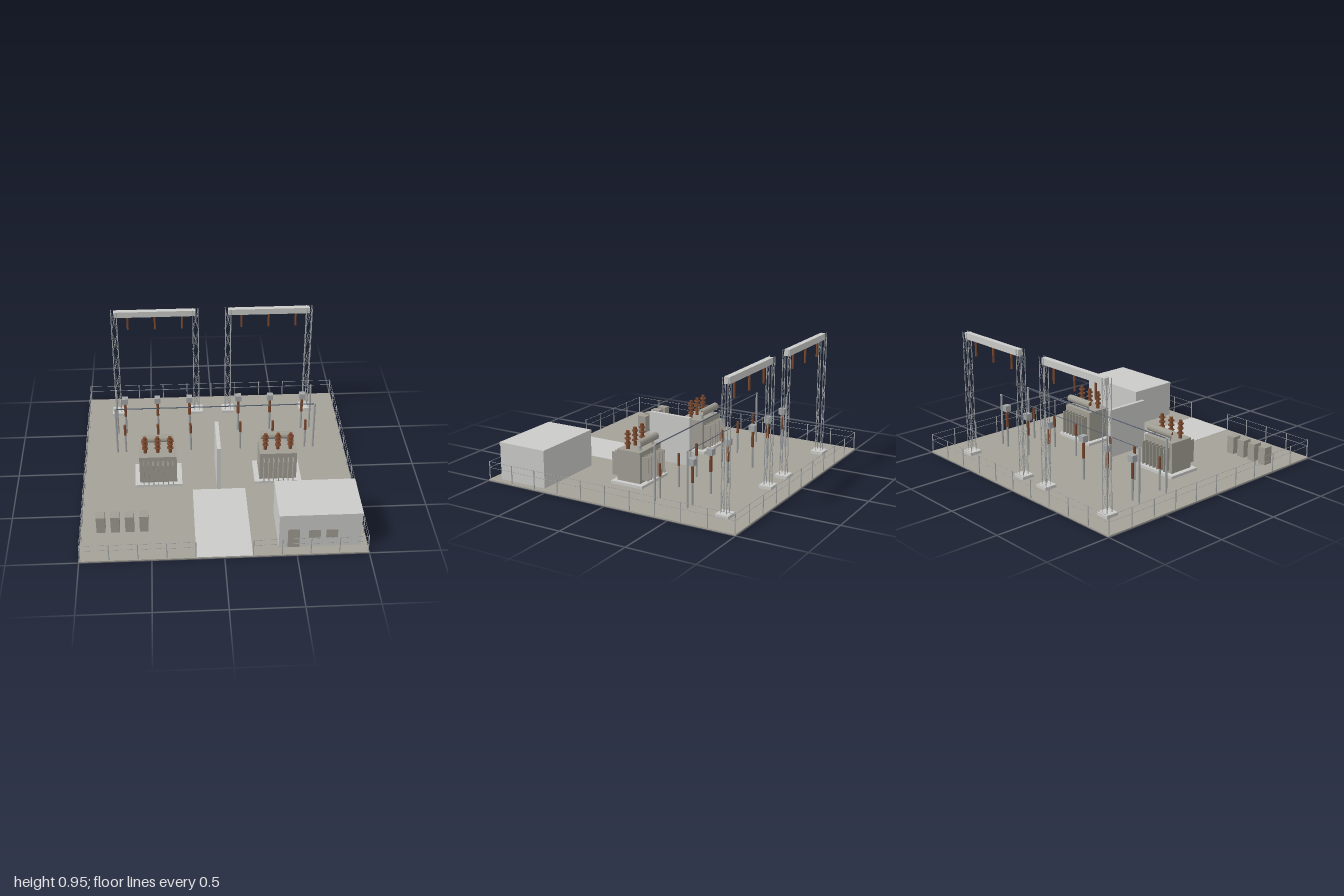
import * as THREE from 'three';

const mat = (name, color) => {
  const m = new THREE.MeshStandardMaterial({ color });
  m.name = name;
  return m;
};

export function createModel() {
  const gravel = mat('gravel', 0xa4a197);
  const concrete = mat('concrete', 0xcacac8);
  const equipment = mat('equipment grey', 0xa09d93);
  const steel = mat('galvanised steel', 0xa4a7a8);
  const porcelain = mat('brown porcelain', 0x7d4a2f);
  const busMetal = mat('bus metal', 0x566070);

  const root = new THREE.Group();
  root.name = 'substation';
  const group = (name, parent = root) => {
    const g = new THREE.Group();
    g.name = name;
    parent.add(g);
    return g;
  };
  const add = (parent, name, geo, m) => {
    const mesh = new THREE.Mesh(geo, m);
    mesh.name = name;
    parent.add(mesh);
    return mesh;
  };
  // box given by its limits on each axis
  const box = (parent, name, m, x0, x1, y0, y1, z0, z1) => {
    const b = add(parent, name, new THREE.BoxGeometry(x1 - x0, y1 - y0, z1 - z0), m);
    b.position.set((x0 + x1) / 2, (y0 + y1) / 2, (z0 + z1) / 2);
    return b;
  };
  // round bar between two points
  const rod = (parent, name, m, a, b, r, sides = 6, open = false) => {
    const p = new THREE.Vector3(...a), q = new THREE.Vector3(...b);
    const d = q.clone().sub(p);
    const mesh = add(parent, name, new THREE.CylinderGeometry(r, r, d.length(), sides, 1, open), m);
    mesh.position.copy(p).add(q).multiplyScalar(0.5);
    mesh.quaternion.setFromUnitVectors(new THREE.Vector3(0, 1, 0), d.normalize());
    return mesh;
  };
  const G = 0.01; // ground level

  // yard and driveway
  box(root, 'yard', gravel, -1, 1, 0, G, -1, 1);
  box(root, 'driveway', concrete, -0.195, 0.195, G - 0.004, G + 0.003, 0.25, 0.998);

  // perimeter fence with a gate gap at the front
  const fence = group('fence');
  const E = 0.992;
  const fenceRun = (a, b, n) => {
    for (const y of [0.098, 0.143])
      rod(fence, 'fenceRail', steel, [a[0], y, a[1]], [b[0], y, b[1]], 0.0015, 5);
    for (let i = 0; i <= n; i++) {
      const x = a[0] + (b[0] - a[0]) * i / n, z = a[1] + (b[1] - a[1]) * i / n;
      rod(fence, 'fencePost', steel, [x, 0.005, z], [x, 0.146, z], 0.004);
    }
  };
  fenceRun([-E, -E], [E, -E], 10);
  for (const s of [-1, 1]) {
    fenceRun([s * E, -E], [s * E, E], 10);
    fenceRun([s * E, E], [s * 0.198, E], 4);
  }

  // control building
  const house = group('controlBuilding');
  box(house, 'walls', concrete, 0.379, 0.951, G, 0.27, 0.536, 0.921);
  box(house, 'roof', concrete, 0.376, 0.954, 0.27, 0.29, 0.533, 0.924);
  box(house, 'door', equipment, 0.44, 0.522, G, 0.168, 0.918, 0.924);
  for (const x of [0.585, 0.705])
    box(house, 'window', equipment, x, x + 0.082, 0.088, 0.157, 0.918, 0.924);

  // fire wall between the transformers
  box(root, 'fireWall', concrete, -0.014, 0.014, G, 0.38, -0.095, 0.253);

  // row of control cabinets
  const cabinets = group('cabinets');
  for (let i = 0; i < 4; i++) {
    const x = -0.857 + i * 0.1015;
    box(cabinets, 'cabinet', equipment, x - 0.031, x + 0.031, G, 0.142, 0.63, 0.705);
  }

  // bushing: stem with three sheds
  const bushing = (parent, x, y, z) => {
    const b = group('bushing', parent);
    rod(b, 'bushingStem', porcelain, [x, y, z], [x, y + 0.136, z], 0.013, 14);
    for (const h of [0.036, 0.072, 0.106])
      rod(b, 'bushingShed', porcelain, [x, y + h, z], [x, y + h + 0.008, z], 0.023, 14);
  };

  // power transformers
  for (const cx of [-0.445, 0.445]) {
    const t = group('transformer');
    t.position.x = cx;
    box(t, 'plinth', concrete, -0.175, 0.175, G, 0.031, -0.06, 0.2);
    box(t, 'tank', equipment, -0.138, 0.138, 0.031, 0.26, -0.022, 0.17);
    for (let i = -3; i <= 3; i++) {
      const x = i * 0.036;
      box(t, 'frontFin', equipment, x - 0.003, x + 0.003, 0.052, 0.225, 0.168, 0.229);
      box(t, 'backFin', equipment, x - 0.003, x + 0.003, 0.052, 0.225, -0.078, -0.02);
    }
    // open-ended oil drum on two short brackets
    rod(t, 'conservator', equipment, [-0.122, 0.314, 0.008], [0.122, 0.314, 0.008], 0.028, 18, true);
    for (const x of [-0.08, 0.08])
      box(t, 'conservatorBracket', steel, x - 0.007, x + 0.007, 0.258, 0.295, 0.005, 0.019);
    for (const x of [-0.093, 0, 0.093]) bushing(t, x, 0.26, 0.105);
  }

  // two bus lines, each held by a post at either end
  for (const [z, r] of [[-0.255, 0.004], [-0.511, 0.0025]]) {
    const line = group('busLine');
    rod(line, 'busBar', busMetal, [-0.76, 0.408, z], [0.76, 0.408, z], r, 8);
    for (const x of [-0.76, 0.76])
      rod(line, 'busPost', steel, [x, G, z], [x, 0.412, z], 0.008, 8);
  }

  // switchgear on posts: isolators in front, breakers with a head box behind
  for (const s of [-1, 1]) for (const d of [0.192, 0.442, 0.695]) {
    const x = s * d;
    const isolator = group('isolator');
    rod(isolator, 'isolatorPost', steel, [x, G, -0.255], [x, 0.17, -0.255], 0.008, 8);
    rod(isolator, 'isolatorInsulator', porcelain, [x, 0.17, -0.255], [x, 0.26, -0.255], 0.01, 10);
    const breaker = group('breaker');
    rod(breaker, 'breakerPost', steel, [x, G, -0.511], [x, 0.17, -0.511], 0.009, 8);
    rod(breaker, 'breakerInsulator', porcelain, [x, 0.17, -0.511], [x, 0.295, -0.511], 0.011, 10);
    box(breaker, 'breakerHead', steel, x - 0.023, x + 0.023, 0.293, 0.34, -0.534, -0.488);
  }

  // lattice column: four legs, cross braced on the front and back faces
  const column = (parent, cx, cz) => {
    const c = group('latticeColumn', parent);
    c.position.set(cx, 0, cz);
    const w = 0.021, o = 0.025, y0 = 0.03, y1 = 0.953, n = 5;
    box(c, 'footing', concrete, -0.049, 0.049, G, 0.033, -0.049, 0.049);
    for (const z of [-w, w]) {
      for (const x of [-w, w])
        rod(c, 'leg', steel, [x, y0, z], [x, y1, z], 0.003);
      for (let i = 0; i < n; i++) {
        const a = y0 + (y1 - y0) * i / n, b = y0 + (y1 - y0) * (i + 1) / n;
        for (const s of [-1, 1])
          rod(c, 'brace', steel, [s * o, a, z], [-s * o, b, z], 0.0015, 4);
      }
    }
  };

  // line gantries along the back
  for (const s of [-1, 1]) {
    const g = group('gantry');
    const z = -0.797;
    for (const d of [0.127, 0.76]) column(g, s * d, z);
    const xs = [s * 0.127, s * 0.76].sort((a, b) => a - b);
    box(g, 'beam', concrete, xs[0], xs[1], 0.905, 0.952, z - 0.02, z + 0.02);
    for (const d of [0.232, 0.444, 0.655])
      rod(g, 'hangingInsulator', porcelain, [s * d, 0.79, z], [s * d, 0.906, z], 0.008, 10);
  }

  return root;
}
